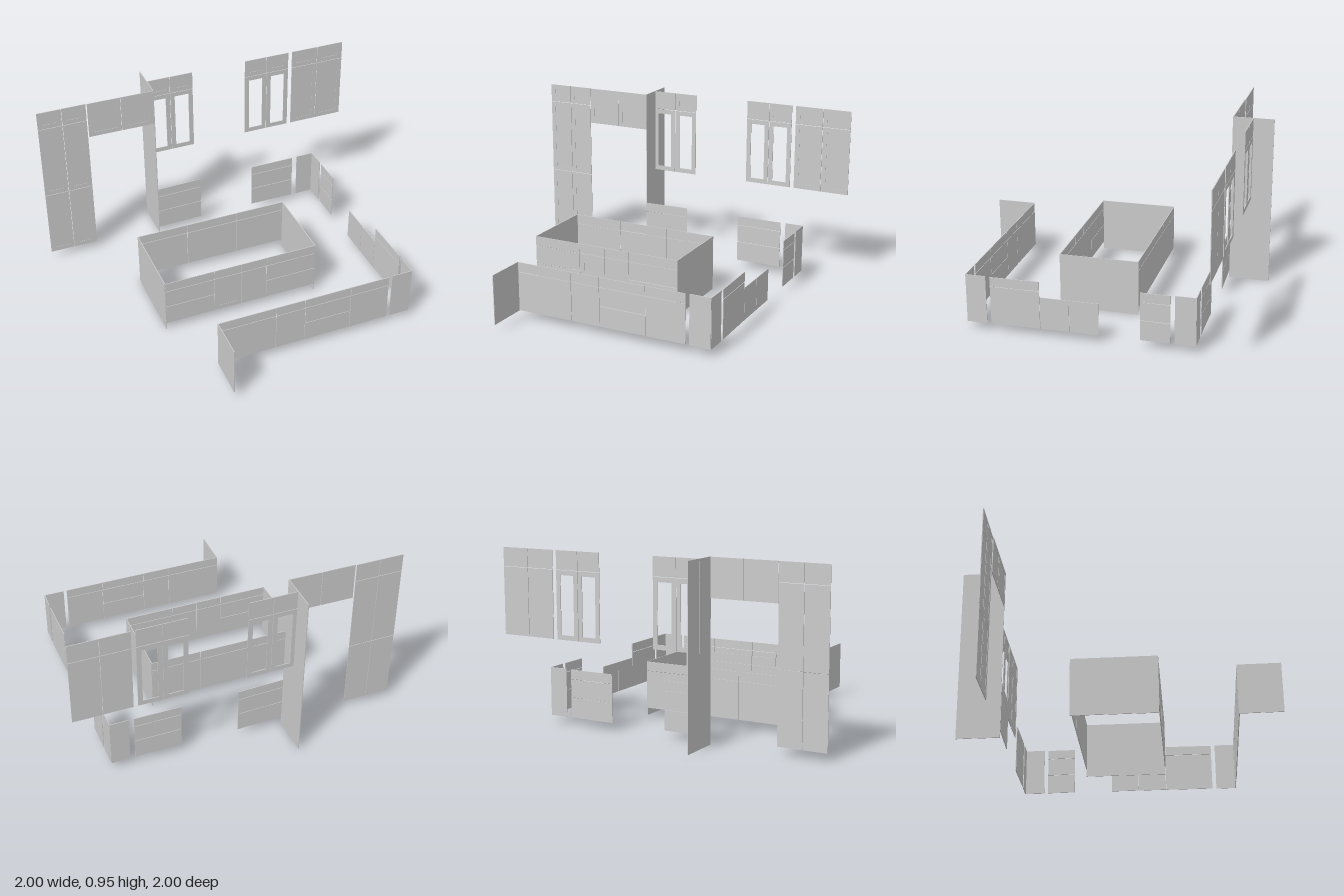
import * as THREE from 'three';

const T = 0.004;      // front thickness
const GAP = 0.0025;   // joint between neighbouring fronts
const FRAME = 0.025;  // width of a door frame
const material = new THREE.MeshStandardMaterial({ color: 0xcccccc, side: THREE.DoubleSide });

function addBox(parent, name, w, h, d, x, y, z) {
  const mesh = new THREE.Mesh(new THREE.BoxGeometry(w, h, d), material);
  mesh.name = name;
  mesh.position.set(x, y, z);
  parent.add(mesh);
}

// Rectangular door frame with an open middle
function addFrame(parent, x, y, w, h) {
  const shape = new THREE.Shape([[0, 0], [w, 0], [w, h], [0, h]].map(p => new THREE.Vector2(...p)));
  const f = FRAME;
  shape.holes.push(new THREE.Path([[f, f], [f, h - f], [w - f, h - f], [w - f, f]].map(p => new THREE.Vector2(...p))));
  const mesh = new THREE.Mesh(new THREE.ExtrudeGeometry(shape, { depth: T, bevelEnabled: false }), material);
  mesh.name = 'doorFrame';
  mesh.position.set(x, y, -T / 2);
  parent.add(mesh);
}

// One front: slab, panelled (frame with recessed middle) or window (open frame)
function addFront(parent, style, x0, x1, y0, y1) {
  const w = x1 - x0 - GAP, h = y1 - y0 - GAP;
  const cx = (x0 + x1) / 2, cy = (y0 + y1) / 2;
  if (style === 'slab') return addBox(parent, 'drawerFront', w, h, T, cx, cy, 0);
  addFrame(parent, cx - w / 2, cy - h / 2, w, h);
  if (style === 'panel') {
    addBox(parent, 'doorPanel', w - 2 * FRAME, h - 2 * FRAME, T * 0.6, cx, cy, -T * 0.2);
  }
}

// Group whose local x runs from a to b on the floor plan; local z is the outside
function wallGroup(root, name, a, b) {
  const g = new THREE.Group();
  g.name = name;
  g.position.set(a[0], 0, a[1]);
  g.rotation.y = -Math.atan2(b[1] - a[1], b[0] - a[0]);
  root.add(g);
  return { g, length: Math.hypot(b[0] - a[0], b[1] - a[1]) };
}

// Run of fronts: columns are [end fraction, row heights, styles from the bottom up]
function addRun(root, name, a, b, columns) {
  const { g, length } = wallGroup(root, name, a, b);
  let start = 0;
  for (const [end, rows, styles] of columns) {
    for (let i = 0; i + 1 < rows.length; i++) {
      addFront(g, styles[i], start * length, end * length, rows[i], rows[i + 1]);
    }
    start = end;
  }
}

// Plain upright board
function addBoard(root, name, a, b, y0, y1) {
  const { g, length } = wallGroup(root, name, a, b);
  addBox(g, name + 'Board', length, y1 - y0, T, length / 2, (y0 + y1) / 2, 0);
}

const pair = (rows, styles) => [[0.5, rows, styles], [1, rows, styles]];

export function createModel() {
  const root = new THREE.Group();
  root.name = 'kitchenFronts';

  // Row patterns
  const drawers = [[0.04, 0.15, 0.25, 0.303], ['slab', 'slab', 'slab']];
  const doorDrawer = [[0.04, 0.25, 0.303], ['panel', 'slab']];
  const slabDrawer = [[0.04, 0.25, 0.303], ['slab', 'slab']];
  const upper = [0.48, 0.847, 0.95];

  // Tall cabinets and the bridge over the open bay
  addRun(root, 'tallCabinet', [-1, 0.37], [-0.81, 0.18],
    pair([0.04, 0.425, 0.847, 0.95], ['panel', 'panel', 'panel']));
  addRun(root, 'bridgeCabinet', [-0.805, 0.18], [-0.54, -0.08], pair([0.743, 0.95], ['panel']));
  addBoard(root, 'tallSide', [-0.7, -0.24], [-0.54, -0.08], 0, 0.95);

  // Wall cabinets
  addRun(root, 'windowCabinetLeft', [-0.62, -0.155], [-0.43, -0.345], pair(upper, ['window', 'panel']));
  addRun(root, 'windowCabinetRight', [-0.21, -0.57], [-0.02, -0.76], pair(upper, ['window', 'panel']));
  addRun(root, 'wallCabinet', [-0.005, -0.775], [0.22, -1], pair(upper, ['panel', 'panel']));

  // Base cabinets along the back walls
  addRun(root, 'baseDrawersLeft', [-0.54, -0.08], [-0.36, -0.27], [[1, ...drawers]]);
  addRun(root, 'baseDrawersRight', [-0.135, -0.495], [0.05, -0.68], [[1, ...drawers]]);
  addBoard(root, 'backCornerLeft', [0.07, -0.7], [0.14, -0.772], 0.04, 0.303);
  addBoard(root, 'backCornerRight', [0.14, -0.772], [0.217, -0.696], 0.04, 0.303);
  addRun(root, 'baseDrawersCorner', [0.232, -0.682], [0.343, -0.57], [[1, ...drawers]]);

  // Low sink front and its neighbour
  addRun(root, 'sinkCabinet', [0.495, -0.42], [0.715, -0.2], pair([0.04, 0.217], ['slab']));
  addRun(root, 'sinkNeighbour', [0.715, -0.2], [0.905, -0.015], [[1, ...slabDrawer]]);
  addBoard(root, 'sideCornerBack', [0.92, 0], [0.995, 0.078], 0.04, 0.303);
  addBoard(root, 'sideCornerFront', [0.995, 0.078], [0.915, 0.158], 0.04, 0.303);

  // Long base run with its end return
  addRun(root, 'baseRun', [0.903, 0.172], [0.232, 0.842], [
    [0.23, ...slabDrawer], [0.5, ...drawers], [0.67, ...slabDrawer], [1, ...slabDrawer],
  ]);
  addBoard(root, 'baseRunEnd', [0.232, 0.842], [0.385, 0.998], 0.04, 0.303);

  // Island: two long cabinet sides between full height end boards
  const n = [0.157, -0.238], e = [0.46, 0.066], s = [-0.14, 0.667], w = [-0.445, 0.363];
  addRun(root, 'islandFront', s, e, [
    [0.32, ...drawers], [0.5, ...doorDrawer], [0.67, ...slabDrawer], [1, ...drawers],
  ]);
  addRun(root, 'islandBack', n, w, [
    [0.33, ...slabDrawer], [0.67, ...slabDrawer], [1, ...slabDrawer],
  ]);
  addBoard(root, 'islandEndLeft', w, s, 0, 0.303);
  addBoard(root, 'islandEndRight', e, n, 0, 0.303);

  return root;
}
